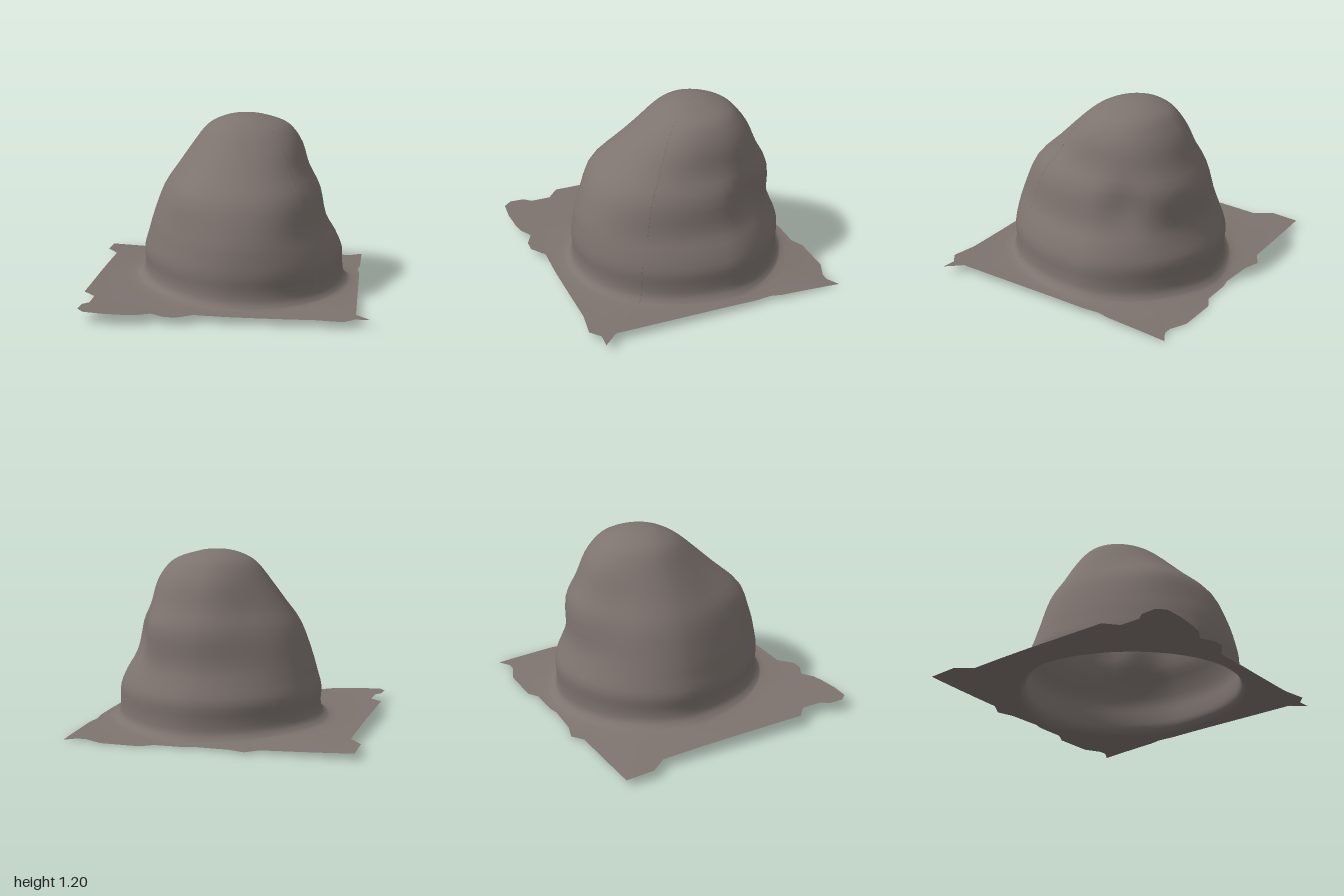
import * as THREE from 'three';

const CX = 0.1, CZ = -0.17; // axis through the summit

// mound sections from the top down: y, left x, right x, front z, back z
const SECTIONS = [
  [1.205, 0.1, 0.1, -0.17, -0.17],
  [1.2, 0.02, 0.18, -0.09, -0.25],
  [1.185, -0.05, 0.25, -0.03, -0.32],
  [1.15, -0.13, 0.36, 0.05, -0.41],
  [1.1, -0.19, 0.43, 0.125, -0.47],
  [1.0, -0.265, 0.495, 0.235, -0.545],
  [0.85, -0.37, 0.545, 0.39, -0.61],
  [0.7, -0.47, 0.63, 0.545, -0.685],
  [0.5, -0.545, 0.67, 0.64, -0.7],
  [0.38, -0.58, 0.735, 0.67, -0.74],
  [0.27, -0.61, 0.78, 0.685, -0.785],
  [0.17, -0.605, 0.785, 0.68, -0.78],
  [0.1, -0.62, 0.795, 0.69, -0.785],
  [0.06, -0.67, 0.83, 0.72, -0.82],
];

// ragged edge of the ground sheet: x, z
const EDGE = [
  [-1, -0.865], [-0.4, -0.865], [-0.31, -0.92], [-0.2, -0.885], [0.03, -0.87], [0.1, -0.885],
  [0.3, -0.885], [0.38, -0.93], [0.65, -0.93], [0.77, -0.88], [0.83, -0.88], [0.91, -0.93],
  [0.905, -0.5], [0.89, -0.42], [0.905, -0.3], [0.905, 0.7], [1, 0.79], [0.9, 0.785],
  [0.83, 0.845], [0.65, 0.82], [0.1, 0.83], [-0.13, 0.825], [-0.23, 0.9], [-0.31, 0.9],
  [-0.4, 0.85], [-0.48, 0.9], [-0.56, 0.915], [-0.7, 0.925], [-0.83, 0.915], [-0.875, 0.86],
  [-0.87, 0.76], [-0.83, 0.71], [-0.83, 0.57], [-0.915, 0.49], [-0.915, -0.56], [-1, -0.67],
];

// bumps and hollows on the flanks: angle, y, angular spread, height spread, depth
const DENTS = [
  [-0.45, 0.64, 0.32, 0.15, -0.06], // hollow at the back of the right flank
  [2.05, 0.75, 0.35, 0.16, 0.04], // shoulder on the front left
  [-2.3, 0.75, 0.45, 0.22, -0.025], // flatter back left
];

// gently warped ground height, falling away at the back
const groundY = (x, z) =>
  0.045 - 0.015 * x + 0.012 * z + 0.018 * x * x - 0.03 * Math.min(z, 0) ** 2;

// edge corners plus even steps between them
function sampleEdge() {
  const points = [];
  EDGE.forEach(([x, z], i) => {
    const [nx, nz] = EDGE[(i + 1) % EDGE.length];
    const steps = Math.ceil(Math.hypot(nx - x, nz - z) / 0.05);
    for (let k = 0; k < steps; k++) {
      points.push([x + (nx - x) * k / steps, z + (nz - z) * k / steps]);
    }
  });
  return points;
}

// radius of a section made of four rounded quarters, some fuller and some more pinched
function moundRadius(angle, y, w, d) {
  const c = Math.cos(angle), s = Math.sin(angle);
  const a = Math.max(0.001, c < 0 ? CX - w.x : w.z - CX);
  const b = Math.max(0.001, s < 0 ? CZ - d.z : d.x - CZ);
  let power = 1.85;
  if (c > 0) power = s > 0 ? 2.2 : 1.75 + 0.45 * THREE.MathUtils.smoothstep(y, 0.35, 0.9);
  const r = ((Math.abs(c) / a) ** power + (Math.abs(s) / b) ** power) ** (-1 / power);
  return DENTS.reduce((sum, [da, dy, sa, sy, depth]) =>
    sum + depth * Math.exp(-(((angle - da) / sa) ** 2) - ((y - dy) / sy) ** 2), r);
}

export function createModel() {
  const group = new THREE.Group();
  const stone = new THREE.MeshStandardMaterial({ color: 0x7d736f, side: THREE.DoubleSide });
  stone.name = 'warm grey stone';

  const edge = sampleEdge();
  const n = edge.length;
  const widths = new THREE.CatmullRomCurve3(
    SECTIONS.map(([y, l, r]) => new THREE.Vector3(l, y, r)), false, 'catmullrom');
  const depths = new THREE.CatmullRomCurve3(
    SECTIONS.map(([y, , , f, b]) => new THREE.Vector3(f, y, b)), false, 'catmullrom');

  const positions = [];
  const moundRows = (SECTIONS.length - 1) * 3;
  const groundRows = 6;
  let rim = [];

  // mound rings, settling onto the ground at the foot
  for (let row = 0; row <= moundRows; row++) {
    const t = row / moundRows;
    const w = widths.getPoint(t), d = depths.getPoint(t);
    rim = edge.map(([ex, ez]) => {
      const angle = Math.atan2(ez - CZ, ex - CX);
      const r = moundRadius(angle, w.y, w, d);
      const x = CX + r * Math.cos(angle), z = CZ + r * Math.sin(angle);
      const settle = THREE.MathUtils.smoothstep(0.3 - w.y, 0, 0.24);
      const y = w.y + settle * (groundY(x, z) + 0.012 - 0.06);
      positions.push(x, y, z);
      return [x, y, z];
    });
  }

  // ground rings from the foot to the ragged edge
  for (let row = 1; row <= groundRows; row++) {
    const t = row / groundRows;
    edge.forEach(([ex, ez], i) => {
      const x = THREE.MathUtils.lerp(rim[i][0], ex, t);
      const z = THREE.MathUtils.lerp(rim[i][2], ez, t);
      positions.push(x, groundY(x, z) + 0.012 * (1 - t) ** 2, z);
    });
  }

  const indexRows = (from, to) => {
    const index = [];
    for (let row = from; row < to; row++) {
      for (let i = 0; i < n; i++) {
        const a = row * n + i, b = row * n + (i + 1) % n;
        index.push(a, b, a + n, b, b + n, a + n);
      }
    }
    return index;
  };

  // smooth normals over the whole surface, shared by both parts
  const whole = new THREE.BufferGeometry();
  whole.setAttribute('position', new THREE.Float32BufferAttribute(positions, 3));
  whole.setIndex(indexRows(0, moundRows + groundRows));
  whole.computeVertexNormals();

  const addPart = (name, from, to) => {
    const geometry = whole.clone();
    geometry.setIndex(indexRows(from, to));
    const mesh = new THREE.Mesh(geometry, stone);
    mesh.name = name;
    group.add(mesh);
  };
  addPart('mound', 0, moundRows);
  addPart('groundSheet', moundRows, moundRows + groundRows);

  group.name = 'rockMound';
  return group;
}
